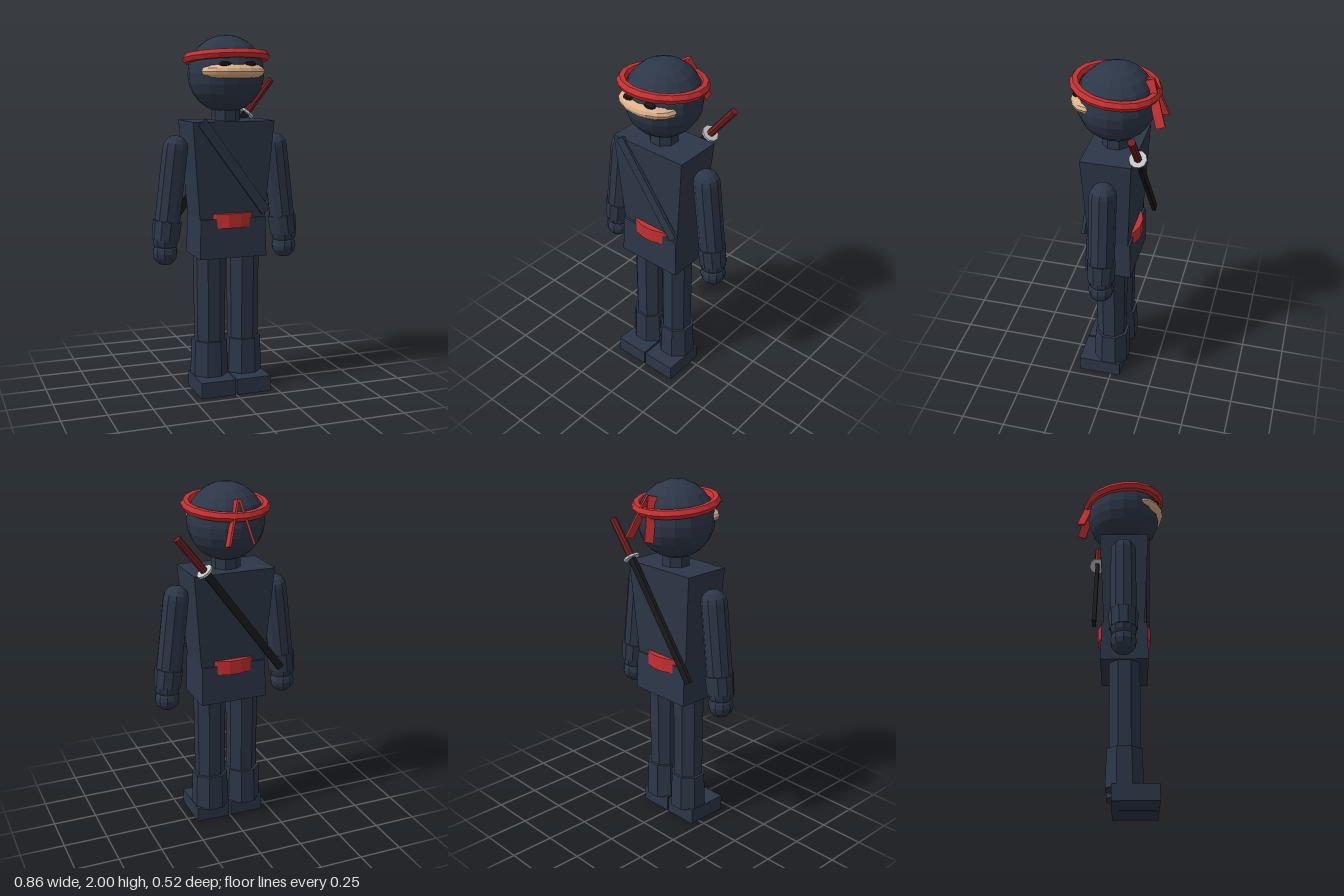
import * as THREE from 'three';

const makeMaterial = (name, color) => {
  const m = new THREE.MeshStandardMaterial({ color, flatShading: true });
  m.name = name;
  return m;
};

export function createModel() {
  const root = new THREE.Group();
  root.name = 'swordsman';
  const navy = makeMaterial('navy cloth', 0x2d3748);
  const red = makeMaterial('red cloth', 0xc53030);
  const darkRed = makeMaterial('dark red grip', 0x742020);
  const skin = makeMaterial('skin', 0xdeb28a);
  const black = makeMaterial('black lacquer', 0x1a1a1a);
  const silver = makeMaterial('silver', 0xc4c8cc);

  const V = (x, y, z) => new THREE.Vector3(x, y, z);
  const add = (name, geometry, material, x, y, z, parent = root) => {
    const mesh = new THREE.Mesh(geometry, material);
    mesh.name = name;
    mesh.position.set(x, y, z);
    parent.add(mesh);
    return mesh;
  };
  // Box whose top and bottom have different widths and depths
  const taperedBox = (wTop, dTop, wBottom, dBottom, h) => {
    const g = new THREE.BoxGeometry(1, h, 1);
    const p = g.attributes.position;
    for (let i = 0; i < p.count; i++) {
      const top = p.getY(i) > 0;
      p.setX(i, p.getX(i) * (top ? wTop : wBottom));
      p.setZ(i, p.getZ(i) * (top ? dTop : dBottom));
    }
    g.computeVertexNormals();
    return g;
  };
  // Turns a y-aligned part so it runs from a to b
  const between = (name, a, b, makeGeometry, material, parent = root) => {
    const d = b.clone().sub(a);
    const c = a.clone().add(b).multiplyScalar(0.5);
    const mesh = add(name, makeGeometry(d.length()), material, c.x, c.y, c.z, parent);
    mesh.quaternion.setFromUnitVectors(V(0, 1, 0), d.normalize());
    return mesh;
  };
  const octagon = (rTop, rBottom, h) =>
    new THREE.CylinderGeometry(rTop, rBottom, h, 8).rotateY(Math.PI / 8);

  // Head, face opening and eyes
  add('head', new THREE.SphereGeometry(0.212, 16, 12), navy, 0, 1.788, 0.01);
  add('face', new THREE.SphereGeometry(1, 16, 10), skin, 0, 1.803, 0.13).scale.set(0.18, 0.055, 0.115);
  for (const s of [-1, 1]) {
    add('eye', new THREE.SphereGeometry(1, 8, 6), black, s * 0.07, 1.842, 0.2).scale.set(0.036, 0.014, 0.024);
  }
  add('neck', octagon(0.08, 0.08, 0.12), navy, 0, 1.57, 0.01);

  // Headband, tilted up at the front, with a knot and two tails behind
  const band = add('headband', new THREE.TorusGeometry(0.215, 0.027, 6, 18), red, 0, 1.876, 0.012);
  band.rotation.x = Math.PI / 2 - 0.11;
  const tail = (l) => new THREE.BoxGeometry(0.05, l, 0.012);
  between('headbandTail', V(0.012, 1.935, -0.165), V(0.092, 1.71, -0.245), tail, red);
  between('headbandTail', V(-0.005, 1.935, -0.165), V(-0.058, 1.71, -0.242), tail, red);

  // Body
  add('torso', taperedBox(0.47, 0.275, 0.38, 0.225, 0.535), navy, 0, 1.2675, 0.013);
  add('hips', taperedBox(0.378, 0.25, 0.39, 0.262, 0.22), navy, 0, 0.89, 0.014);
  add('belt', new THREE.CylinderGeometry(1, 1, 0.08, 16).rotateY(Math.PI / 16), red, 0, 0.99, 0.013).scale.set(0.18, 1, 0.15);
  between('chestStrap', V(-0.185, 1.535, 0.151), V(0.185, 1.035, 0.151),
    (l) => new THREE.BoxGeometry(0.055, l, 0.018), navy);

  // Arms and legs
  for (const s of [-1, 1]) {
    const arm = new THREE.Group();
    arm.name = s > 0 ? 'leftArm' : 'rightArm';
    root.add(arm);
    const shoulder = V(s * 0.293, 1.385, 0.01);
    const wrist = V(s * 0.355, 0.88, 0.01);
    const along = (t) => shoulder.clone().lerp(wrist, t);
    between('sleeve', wrist, shoulder, (l) => new THREE.CapsuleGeometry(0.073, l, 4, 10), navy, arm);
    between('wristWrap', along(1), along(0.79),
      (l) => new THREE.CylinderGeometry(0.08, 0.076, l, 10), navy, arm);
    add('hand', new THREE.SphereGeometry(0.071, 10, 8), navy, s * 0.357, 0.808, 0.01, arm);

    const leg = new THREE.Group();
    leg.name = s > 0 ? 'leftLeg' : 'rightLeg';
    root.add(leg);
    add('trouser', octagon(0.092, 0.088, 0.52), navy, s * 0.1, 0.54, 0.015, leg);
    add('shinWrap', octagon(0.102, 0.108, 0.21), navy, s * 0.102, 0.187, 0.013, leg);
    add('foot', new THREE.BoxGeometry(0.2, 0.09, 0.25), navy, s * 0.105, 0.045, 0.07, leg);
  }

  // Sword slung across the back
  const sword = new THREE.Group();
  sword.name = 'sword';
  root.add(sword);
  const guard = V(0.185, 1.565, -0.15);
  between('scabbard', V(-0.268, 0.955, -0.15), guard, (l) => new THREE.BoxGeometry(0.042, l, 0.022), black, sword);
  between('grip', guard, V(0.335, 1.755, -0.15), (l) => new THREE.CylinderGeometry(0.021, 0.021, l, 8), darkRed, sword);
  between('guard', V(0.181, 1.56, -0.15), V(0.189, 1.57, -0.15),
    (l) => new THREE.CylinderGeometry(0.048, 0.048, l, 10), silver, sword);

  return root;
}
